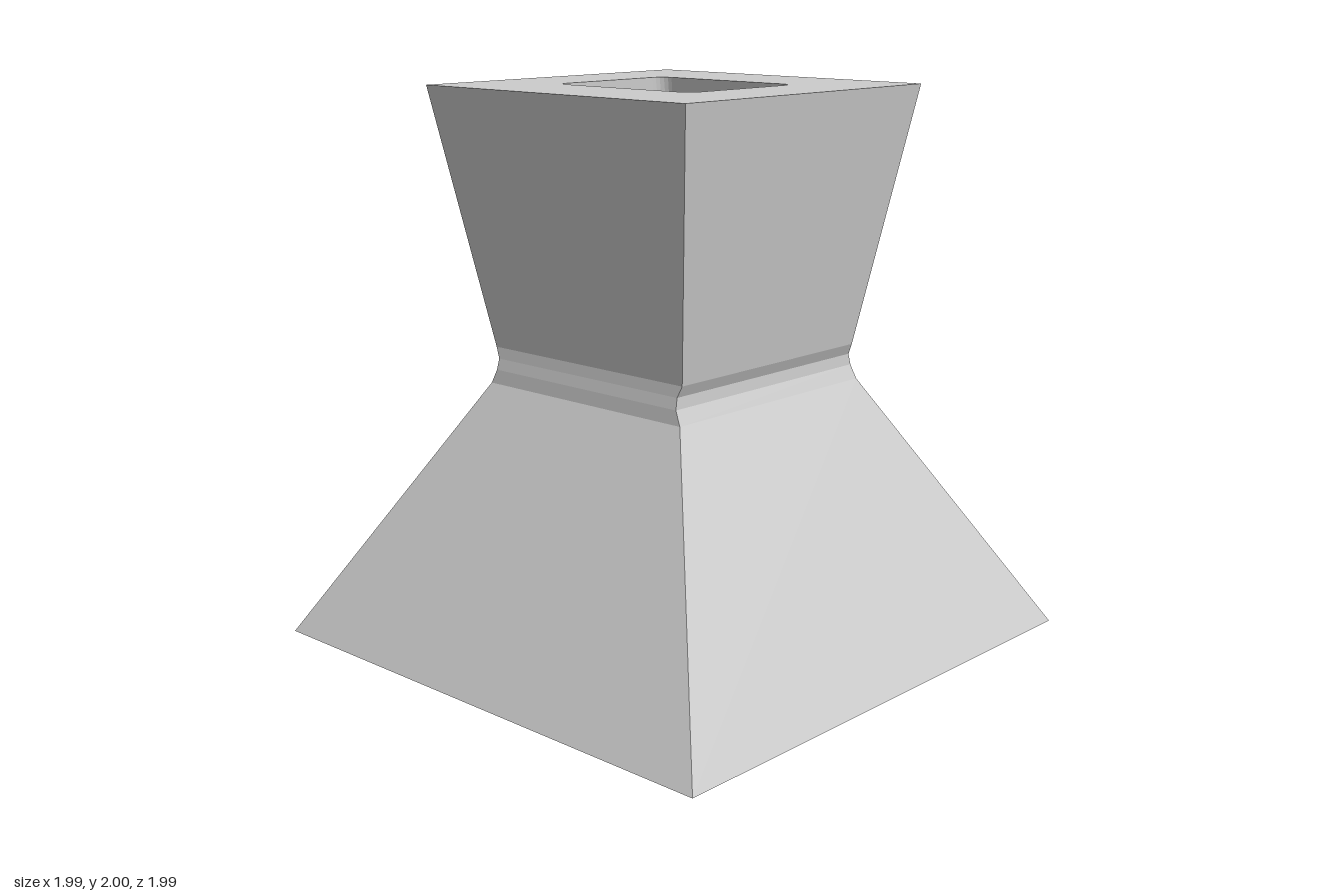
import * as THREE from 'three';

const CORNER_STEPS = 5;

// Rectangular ring with rounded corners: [y, half width, half depth, corner radius]
function ring([y, hx, hz, r = 0]) {
  const points = [];
  for (let q = 0; q < 4; q++) {
    const sx = q === 0 || q === 3 ? 1 : -1;
    const sz = q < 2 ? -1 : 1;
    for (let s = 0; s <= CORNER_STEPS; s++) {
      const a = (q + s / CORNER_STEPS) * Math.PI / 2;
      points.push(new THREE.Vector3(
        sx * (hx - r) + r * Math.cos(a), y, sz * (hz - r) - r * Math.sin(a)));
    }
  }
  return points;
}

// Flat-faced skin through successive rings, dropping collapsed triangles
function loft(name, sections, material) {
  const rings = sections.map(ring);
  const positions = [];
  const addTriangle = (a, b, c) => {
    if (new THREE.Triangle(a, b, c).getArea() < 1e-7) return;
    for (const p of [a, b, c]) positions.push(p.x, p.y, p.z);
  };
  for (let k = 0; k < rings.length - 1; k++) {
    const lower = rings[k], upper = rings[k + 1], n = lower.length;
    for (let i = 0; i < n; i++) {
      const j = (i + 1) % n;
      addTriangle(lower[i], lower[j], upper[j]);
      addTriangle(lower[i], upper[j], upper[i]);
    }
  }
  const geometry = new THREE.BufferGeometry();
  geometry.setAttribute('position', new THREE.Float32BufferAttribute(positions, 3));
  geometry.computeVertexNormals();
  const mesh = new THREE.Mesh(geometry, material);
  mesh.name = name;
  return mesh;
}

export function createModel() {
  const model = new THREE.Group();
  model.name = 'hollowPedestal';
  const grey = new THREE.MeshStandardMaterial({ color: 0xcccccc });
  grey.name = 'light grey';

  const foot = [0, 0.995, 0.995];
  const crown = [2, 0.61, 0.61];
  const topOpening = [2, 0.315, 0.267, 0.05];
  const baseOpening = [0, 0.575, 0.655, 0.01];

  // Flared foot, pinched neck and widening head
  model.add(loft('outerWalls', [
    foot,
    [0.94, 0.46, 0.472],
    [0.99, 0.437, 0.466],
    [1.03, 0.434, 0.457],
    [1.07, 0.452, 0.452],
    crown,
  ], grey));

  // Flat top around the opening
  model.add(loft('topRim', [crown, topOpening], grey));

  // Shaft deepening downwards, then a pyramid-shaped hollow
  model.add(loft('innerWalls', [
    topOpening,
    [1.0, 0.32, 0.385, 0.02],
    baseOpening,
  ], grey));

  // Flat underside
  model.add(loft('underside', [baseOpening, foot], grey));

  return model;
}
